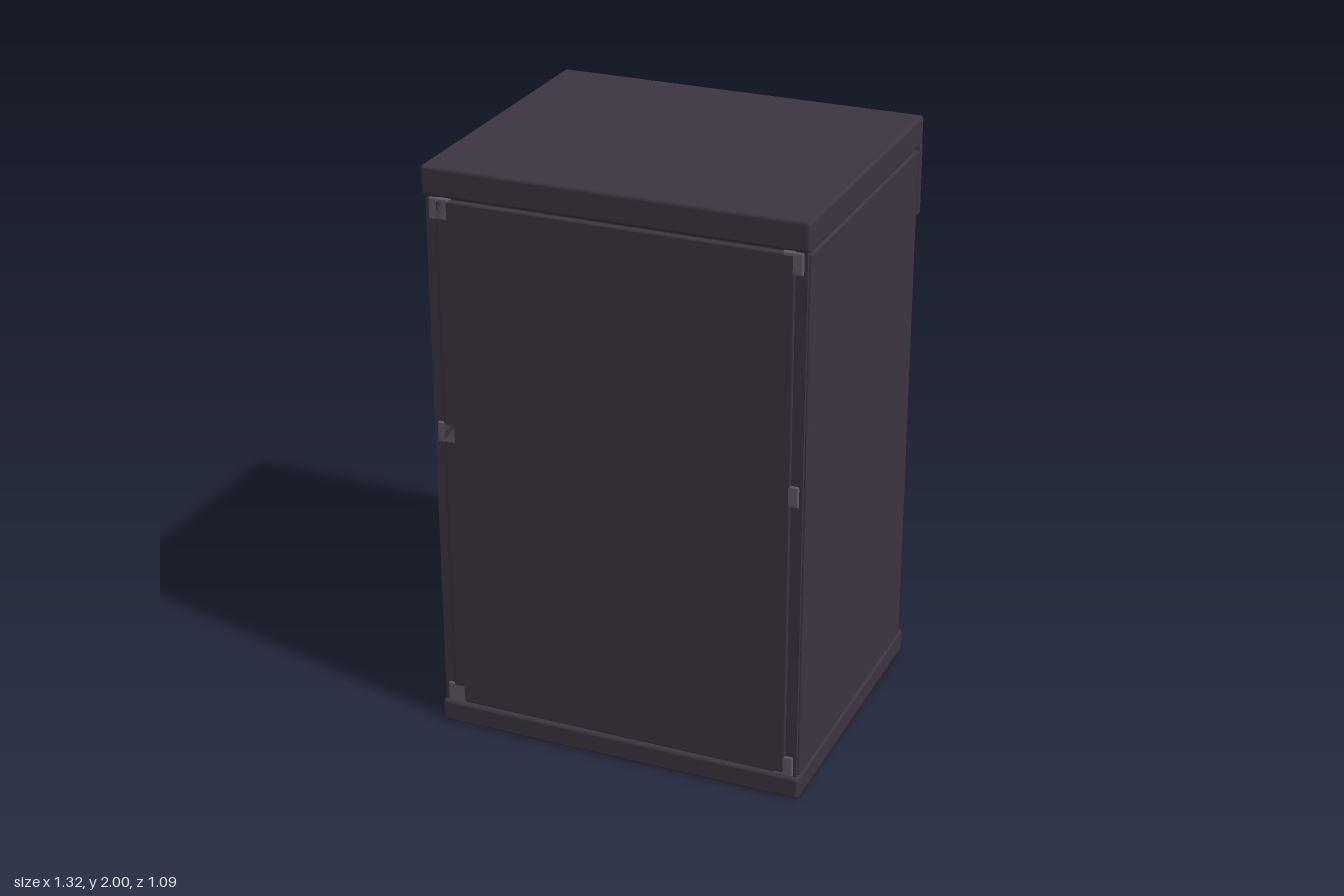
import * as THREE from 'three';
import { RoundedBoxGeometry } from 'three/addons/geometries/RoundedBoxGeometry.js';

const CX = 0.015; // middle of the cabinet body
const material = (name, color) => {
  const m = new THREE.MeshStandardMaterial({ color });
  m.name = name;
  return m;
};

export function createModel() {
  const root = new THREE.Group();
  root.name = 'curtainedBooth';
  const shell = material('dark plum shell', 0x3d3542);
  const frame = material('grey frame', 0x625b67);
  const lining = material('purple lining', 0x9a70b0);
  const cloth = material('dark curtain', 0x37303b);
  cloth.side = THREE.DoubleSide;

  const add = (name, geometry, mat) => {
    const mesh = new THREE.Mesh(geometry, mat);
    mesh.name = name;
    root.add(mesh);
    return mesh;
  };
  // box given by its limits, with optional softened edges
  const box = (name, mat, [x0, x1], [y0, y1], [z0, z1], r = 0) => {
    const s = [x1 - x0, y1 - y0, z1 - z0];
    const g = r ? new RoundedBoxGeometry(...s, 2, r) : new THREE.BoxGeometry(...s);
    g.translate((x0 + x1) / 2, (y0 + y1) / 2, (z0 + z1) / 2);
    return add(name, g, mat);
  };
  // limits along x measured outwards from the body's middle, on either side
  const span = (side, a, b) => (side > 0 ? [CX + a, CX + b] : [CX - b, CX - a]);

  // base and roof
  box('base', shell, [-0.63, 0.66], [0, 0.08], [-0.525, 0.545], 0.012);
  box('roof', shell, [-0.63, 0.66], [1.9, 2], [-0.525, 0.545], 0.012);
  box('floorLining', lining, [-0.59, 0.62], [0.08, 0.088], [-0.49, 0.51]);

  // front wall
  box('frontPanel', shell, [-0.585, 0.61], [0.085, 1.89], [0.515, 0.54], 0.006);
  box('frontLining', lining, [-0.59, 0.62], [0.085, 1.89], [0.507, 0.514]);

  for (const side of [-1, 1]) {
    // side walls
    box('sidePanel', shell, span(side, 0.622, 0.642), [0.08, 1.89], [-0.49, 0.522], 0.006);
    box('sideLining', lining, span(side, 0.614, 0.621), [0.085, 1.89], [-0.48, 0.51]);
    box('sideFloorRail', shell, span(side, 0.59, 0.616), [0.08, 0.11], [-0.49, 0.51]);
    box('sideRoofRail', shell, span(side, 0.59, 0.63), [1.86, 1.905], [-0.49, 0.51]);

    // corner posts with their connector blocks
    for (const z of [-0.465, 0.508]) {
      box('cornerPost', frame, span(side, 0.583, 0.625), [0.07, 1.91], [z - 0.022, z + 0.022], 0.008);
      if (z > 0) box('cornerStrip', shell, span(side, 0.596, 0.634), [0.08, 1.9], [0.515, 0.534]);
      const dz = z < 0 ? [-0.52, -0.445] : [0.465, 0.54];
      for (const y of [0.115, 1.09, 1.86]) {
        box('postConnector', frame, span(side, 0.555, 0.623), [y - 0.037, y + 0.037], dz, 0.006);
      }
    }

    // gathered curtain: height, inner edge, outer edge, depth
    const rows = [
      [1.66, 0.31, 0.56, -0.503], [1.36, 0.435, 0.55, -0.524],
      [1.12, 0.475, 0.54, -0.533], [0.98, 0.475, 0.535, -0.535],
      [0.7, 0.46, 0.55, -0.53], [0.4, 0.44, 0.56, -0.52], [0.12, 0.42, 0.575, -0.508],
    ];
    const cols = 8;
    const g = new THREE.PlaneGeometry(1, 1, cols, rows.length - 1);
    const p = g.attributes.position;
    rows.forEach(([y, inner, outer, z], r) => {
      for (let c = 0; c <= cols; c++) {
        const x = THREE.MathUtils.lerp(inner, outer, c / cols);
        p.setXYZ(r * (cols + 1) + c, CX + side * x, y, z + (c % 2) * 0.014);
      }
    });
    if (side < 0) { // keep the corner order facing the same way on the mirrored curtain
      const idx = g.index.array;
      for (let i = 0; i < idx.length; i += 3) [idx[i], idx[i + 1]] = [idx[i + 1], idx[i]];
    }
    const flat = g.toNonIndexed();
    flat.computeVertexNormals();
    add('curtain', flat, cloth);
    box('curtainTie', frame, span(side, 0.42, 0.51), [0.95, 1.01], [-0.542, -0.488], 0.006);

    // hanger under the valance
    const hanger = add('curtainHanger', new THREE.CylinderGeometry(0.045, 0.035, 0.04, 12), shell);
    hanger.position.set(CX + side * 0.5, 1.645, -0.49);
  }

  // rails along the front wall
  box('frontFloorRail', shell, [-0.59, 0.62], [0.08, 0.11], [0.485, 0.508]);
  box('frontRoofRail', shell, [-0.59, 0.62], [1.86, 1.905], [0.485, 0.515]);

  // open back: valance above, sill below
  box('valance', shell, [-0.605, 0.635], [1.66, 1.93], [-0.543, -0.5], 0.01);
  box('valanceEnds', shell, [-0.63, 0.66], [1.66, 1.905], [-0.524, -0.49], 0.006);
  box('sill', frame, [-0.605, 0.635], [0.035, 0.11], [-0.543, -0.49], 0.008);

  // thin cord hanging by the front wall
  const cord = new THREE.LineCurve3(new THREE.Vector3(0.47, 0.19, 0.5), new THREE.Vector3(0.46, 1.87, 0.5));
  add('cord', new THREE.TubeGeometry(cord, 1, 0.004, 6), cloth);

  // side vent: plate, raised rim and upright slats
  box('ventPlate', cloth, [-0.642, -0.62], [1.36, 1.63], [-0.035, 0.23], 0.006);
  for (const [y, z] of [
    [[1.36, 1.39], [-0.035, 0.23]], [[1.6, 1.63], [-0.035, 0.23]],
    [[1.36, 1.63], [-0.035, -0.01]], [[1.36, 1.63], [0.205, 0.23]],
  ]) box('ventRim', shell, [-0.655, -0.625], y, z, 0.006);
  for (const z of [0.03, 0.1, 0.17]) {
    box('ventSlat', shell, [-0.663, -0.63], [1.4, 1.59], [z - 0.006, z + 0.006]);
  }

  return root;
}
